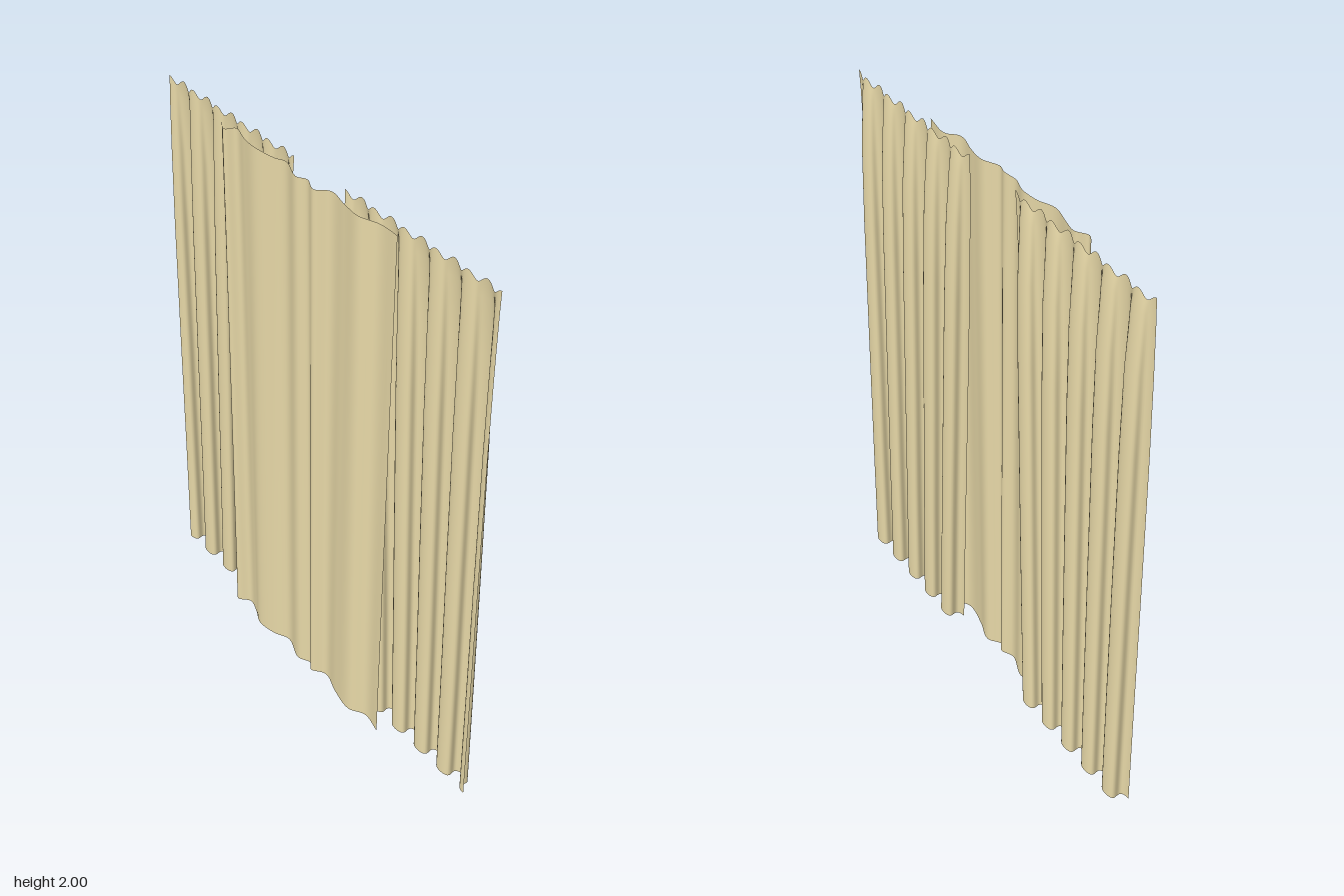
import * as THREE from 'three';

const fabric = new THREE.MeshStandardMaterial({ color: 0xe8d9a8, side: THREE.DoubleSide });

// Cloth sheet: point(u, v) gives a position, u across the cloth and v a row index
function sheet(name, cols, rows, point) {
  const pos = [], index = [];
  for (let r = 0; r < rows; r++) {
    for (let c = 0; c <= cols; c++) pos.push(...point(c / cols, r));
  }
  const w = cols + 1;
  for (let r = 0; r < rows - 1; r++) {
    for (let c = 0; c < cols; c++) {
      const a = r * w + c, b = a + w;
      index.push(a, b, a + 1, a + 1, b, b + 1);
    }
  }
  const geo = new THREE.BufferGeometry();
  geo.setAttribute('position', new THREE.Float32BufferAttribute(pos, 3));
  geo.setIndex(index);
  geo.computeVertexNormals();
  const mesh = new THREE.Mesh(geo, fabric);
  mesh.name = name;
  return mesh;
}

// Front drape: five rounded folds, flattening and spreading inward towards the top
function drape(name, side) {
  // height, fold centre in x, fold depth
  const rows = [
    [0.02, 0.028, 0.027], [0.45, 0.028, 0.026], [0.89, 0.027, 0.025], [1.44, 0.026, 0.023],
    [1.73, 0.025, 0.019], [1.93, 0.021, 0.011], [2, 0.018, 0.005],
  ];
  const outer = 0.843;
  return sheet(name, 120, rows.length, (u, r) => {
    const [h, centre, depth] = rows[r];
    const t = u * 5 * Math.PI * 2;
    const inner = THREE.MathUtils.lerp(0.225, 0.13, (h - 0.02) / 1.98);
    const curl = 0.014 * (depth / 0.027);
    const z = THREE.MathUtils.lerp(outer, inner, u) - curl * Math.sin(2 * t);
    const scallop = r === rows.length - 1 ? 0.011 * (Math.cos(2 * t) - 1) : 0;
    return [centre - depth * Math.cos(t), h + scallop, side * z];
  });
}

// Back curtain: shallow irregular ripples that drift a little with height
function backCurtain() {
  const profile = (pts) => new THREE.CatmullRomCurve3(pts.map(([z, x]) => new THREE.Vector3(x, 0, z)));
  const low = profile([
    [-0.475, -0.02], [-0.44, -0.045], [-0.4, -0.015], [-0.34, -0.03], [-0.28, -0.055],
    [-0.2, -0.045], [-0.14, -0.02], [-0.04, -0.05], [0.01, -0.03], [0.04, -0.05],
    [0.09, -0.02], [0.18, -0.045], [0.28, -0.06], [0.34, -0.03], [0.425, -0.045],
  ]);
  const high = profile([
    [-0.475, -0.025], [-0.44, -0.04], [-0.41, -0.012], [-0.35, -0.025], [-0.27, -0.04],
    [-0.19, -0.025], [-0.13, -0.015], [-0.05, -0.04], [0, -0.03], [0.05, -0.045],
    [0.1, -0.015], [0.18, -0.025], [0.27, -0.04], [0.33, -0.012], [0.425, -0.02],
  ]);
  return sheet('backCurtain', 84, 6, (u, r) => {
    const v = r / 5;
    const p = low.getPoint(u).lerp(high.getPoint(u), v);
    const wave = r === 5 ? 0.003 * Math.cos(u * 44) : 0;
    return [p.x, 1.985 * v + wave, p.z];
  });
}

export function createModel() {
  const group = new THREE.Group();
  group.name = 'curtains';
  group.add(drape('frontDrape', 1), drape('rearDrape', -1), backCurtain());
  return group;
}
